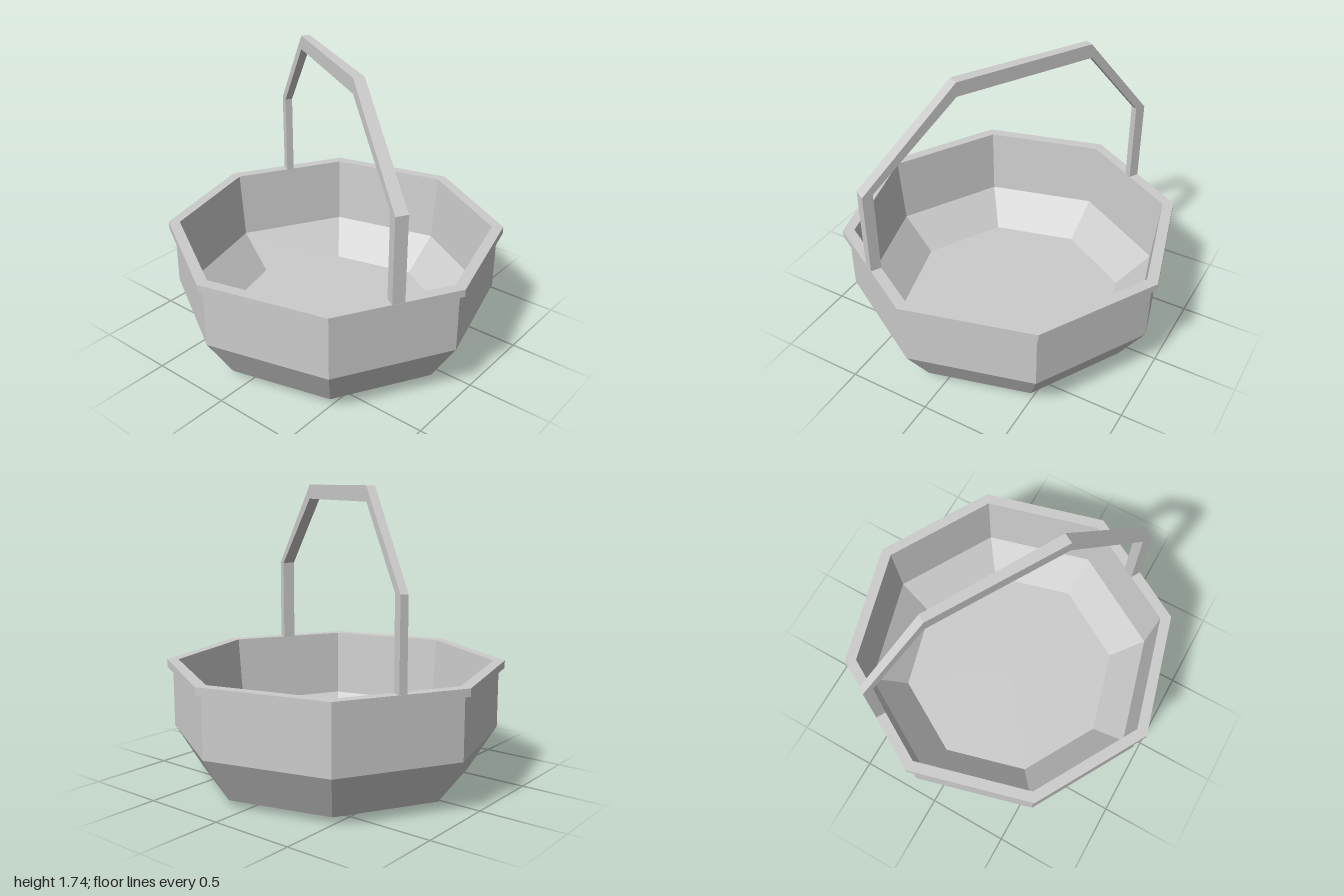
import * as THREE from 'three';

const SIDES = 8;
const material = new THREE.MeshStandardMaterial({ color: 0xcccccc, flatShading: true });
const rad = THREE.MathUtils.degToRad;

// Eight-sided ring or bowl from [radius, height] pairs
function octagonal(name, profile) {
  const points = profile.map(([r, y]) => new THREE.Vector2(r, y));
  const mesh = new THREE.Mesh(new THREE.LatheGeometry(points, SIDES), material);
  mesh.name = name;
  mesh.rotation.y = rad(-7.5);
  return mesh;
}

// Angular carrying handle, slightly wider at one end
function makeHandle() {
  const outline = [
    [-0.93, 0.7], [-0.868, 0.7], [-0.868, 1.21], [-0.51, 1.65],
    [0.35, 1.65], [0.868, 1.21], [0.868, 0.7], [0.93, 0.7],
    [0.93, 1.21], [0.35, 1.735], [-0.505, 1.735], [-0.93, 1.21],
  ];
  const shape = new THREE.Shape(outline.map(([x, y]) => new THREE.Vector2(x, y)));
  const geometry = new THREE.ExtrudeGeometry(shape, { depth: 1, bevelEnabled: false });
  geometry.translate(0, 0, -0.5);
  const p = geometry.attributes.position;
  for (let i = 0; i < p.count; i++) {
    p.setZ(i, p.getZ(i) * (0.059 + 0.016 * p.getX(i)));
  }
  geometry.computeVertexNormals();
  const mesh = new THREE.Mesh(geometry, material);
  mesh.name = 'handle';
  mesh.rotation.y = rad(-30);
  return mesh;
}

export function createModel() {
  const group = new THREE.Group();
  group.name = 'basket';
  group.add(
    // Outer wall and underside
    octagonal('outerBowl', [[0, 0], [0.635, 0], [0.807, 0.037], [0.973, 0.3], [0.973, 0.66]]),
    // Overhanging rim
    octagonal('rim', [[0.973, 0.66], [1.008, 0.66], [1.008, 0.705], [0.94, 0.705]]),
    // Inner wall and floor
    octagonal('innerBowl', [[0.94, 0.705], [0.9, 0.29], [0.69, 0.085], [0, 0.085]]),
    makeHandle(),
  );
  return group;
}
